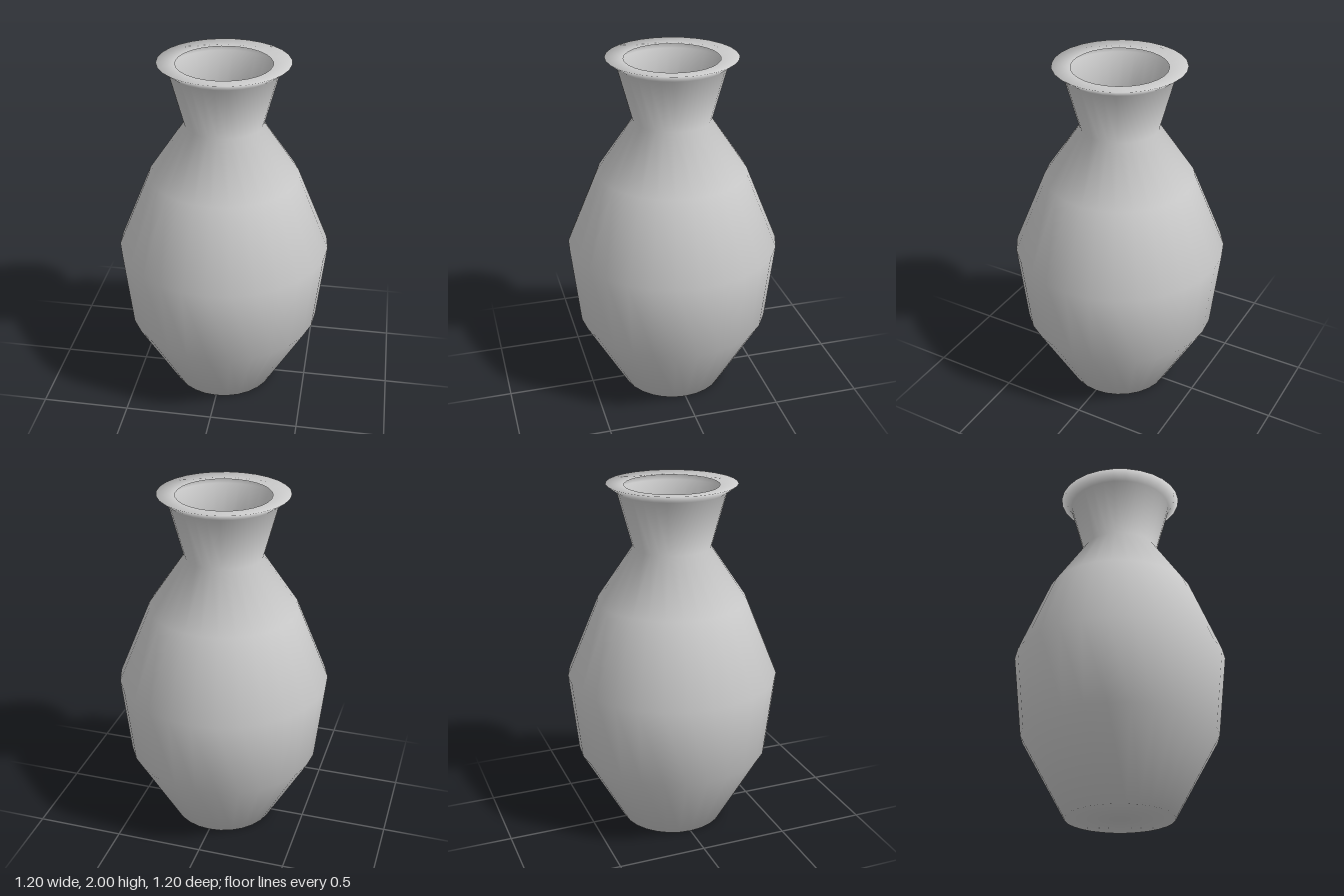
import * as THREE from 'three';

export function createModel() {
  const group = new THREE.Group();
  group.name = 'vase';

  const clay = new THREE.MeshStandardMaterial({ color: 0xcccccc, side: THREE.DoubleSide });
  clay.name = 'grey clay';

  // Thin-walled profile, from the centre of the base up to the inner edge of the rim
  const profile = [
    [0, 0],         // base centre
    [0.30, 0],      // foot
    [0.55, 0.45],   // lower belly
    [0.60, 0.91],   // widest point
    [0.42, 1.35],   // shoulder
    [0.218, 1.65],  // neck
    [0.30, 1.955],  // under the lip
    [0.36, 2.0],    // lip edge
    [0.26, 1.99],   // inner edge of the rim
  ].map(([r, y]) => new THREE.Vector2(r, y));

  const body = new THREE.Mesh(new THREE.LatheGeometry(profile, 28), clay);
  body.name = 'vaseBody';
  group.add(body);
  return group;
}
